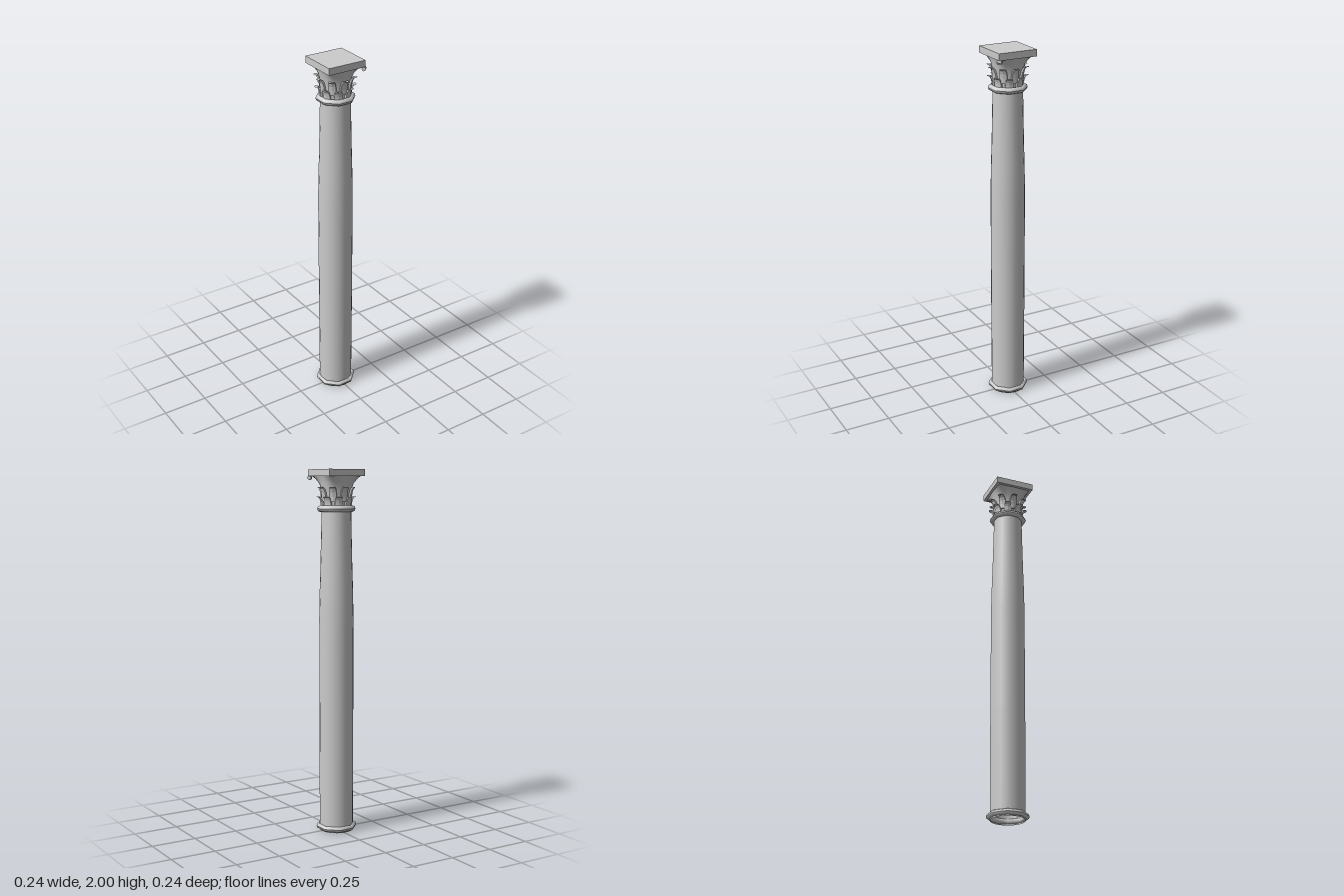
import * as THREE from 'three';

const material = new THREE.MeshStandardMaterial({ color: 0xcccccc, side: THREE.DoubleSide });
const flatMaterial = new THREE.MeshStandardMaterial({ color: 0xcccccc, side: THREE.DoubleSide, flatShading: true });

function add(parent, name, geometry, mat = material) {
  const mesh = new THREE.Mesh(geometry, mat);
  mesh.name = name;
  parent.add(mesh);
  return mesh;
}

const lathe = (points, sides, start = 0) =>
  new THREE.LatheGeometry(points.map(([r, y]) => new THREE.Vector2(r, y)), sides, start);

// Octagonal moulding with a rounded section; apothem is the distance to a flat
function ringGeometry(apothem, y, height, depth) {
  const outer = apothem / Math.cos(Math.PI / 8);
  const points = [];
  for (let i = 0; i <= 8; i++) {
    const a = (i / 8) * Math.PI * 2;
    points.push([outer - depth / 2 + Math.cos(a) * depth / 2, y + Math.sin(a) * height / 2]);
  }
  return lathe(points, 8, Math.PI / 8);
}

// Bell: round cross-sections that spread into a square with hollow sides
function bellGeometry() {
  const levels = [ // y, radius, squareness
    [1.79, 0.074, 0], [1.85, 0.075, 0], [1.89, 0.08, 0.05],
    [1.925, 0.086, 0.25], [1.95, 0.092, 0.65], [1.968, 0.098, 1],
  ];
  const sides = 32, pos = [], index = [];
  levels.forEach(([y, r, q], j) => {
    for (let i = 0; i <= sides; i++) {
      const a = (i / sides) * Math.PI * 2;
      const s = Math.sin(a), c = Math.cos(a);
      const square = r / Math.max(Math.abs(s), Math.abs(c));
      const radius = THREE.MathUtils.lerp(r, square, q);
      pos.push(s * radius, y, c * radius);
      if (j && i < sides) {
        const b = j * (sides + 1) + i, d = b - sides - 1;
        index.push(d, d + 1, b, d + 1, b + 1, b);
      }
    }
  });
  const g = new THREE.BufferGeometry();
  g.setAttribute('position', new THREE.Float32BufferAttribute(pos, 3));
  g.setIndex(index);
  g.computeVertexNormals();
  return g;
}

// Leaf: a slab that narrows upward and curls away from the bell
function leafGeometry(width, height, reach) {
  const g = new THREE.BoxGeometry(width, height, 0.01, 2, 5, 1);
  const p = g.attributes.position;
  for (let i = 0; i < p.count; i++) {
    const t = p.getY(i) / height + 0.5;
    const x = p.getX(i);
    const ridge = 0.004 * (1 - Math.abs(x) / (width / 2));
    const rise = Math.sin(Math.min(1, t * 1.08) * Math.PI / 2);
    p.setXYZ(i, x * (1 - 0.45 * t * t), rise * height, p.getZ(i) + ridge + reach * t * t);
  }
  g.computeVertexNormals();
  return g;
}

export function createModel() {
  const model = new THREE.Group();
  model.name = 'column';

  // Everything stands on an axis slightly off centre
  const column = new THREE.Group();
  column.name = 'columnBody';
  column.position.set(-0.005, 0, -0.005);
  model.add(column);

  // Open-ended shaft with a gentle taper in the upper part
  add(column, 'shaft', lathe([
    [0.093, 0], [0.094, 0.6], [0.094, 1.2], [0.091, 1.35],
    [0.087, 1.48], [0.083, 1.65], [0.08, 1.8],
  ], 24));
  add(column, 'baseRing', ringGeometry(0.104, 0.021, 0.031, 0.024));
  add(column, 'neckRing', ringGeometry(0.097, 1.79, 0.034, 0.03));

  // Capital
  const capital = new THREE.Group();
  capital.name = 'capital';
  column.add(capital);
  add(capital, 'bell', bellGeometry());
  const abacus = add(capital, 'abacus', new THREE.BoxGeometry(0.221, 0.037, 0.221));
  abacus.position.y = 1.9815;

  // Two staggered rows of eight leaves
  const rows = [
    { name: 'lowerLeaf', y: 1.802, r: 0.076, turn: Math.PI / 8, geometry: leafGeometry(0.044, 0.052, 0.026) },
    { name: 'upperLeaf', y: 1.828, r: 0.075, turn: 0, geometry: leafGeometry(0.042, 0.078, 0.031) },
  ];
  for (const row of rows) {
    for (let i = 0; i < 8; i++) {
      const a = row.turn + i * Math.PI / 4;
      const leaf = add(capital, row.name, row.geometry, flatMaterial);
      leaf.position.set(Math.sin(a) * row.r, row.y, Math.cos(a) * row.r);
      leaf.rotation.y = a;
    }
  }

  // Small scroll that projects past one corner of the abacus
  const scroll = add(capital, 'cornerScroll', new THREE.CylinderGeometry(0.011, 0.011, 0.024, 8), flatMaterial);
  scroll.rotation.set(0, Math.PI / 4, Math.PI / 2, 'YXZ');
  scroll.position.set(0.105, 1.955, 0.105);

  return model;
}
